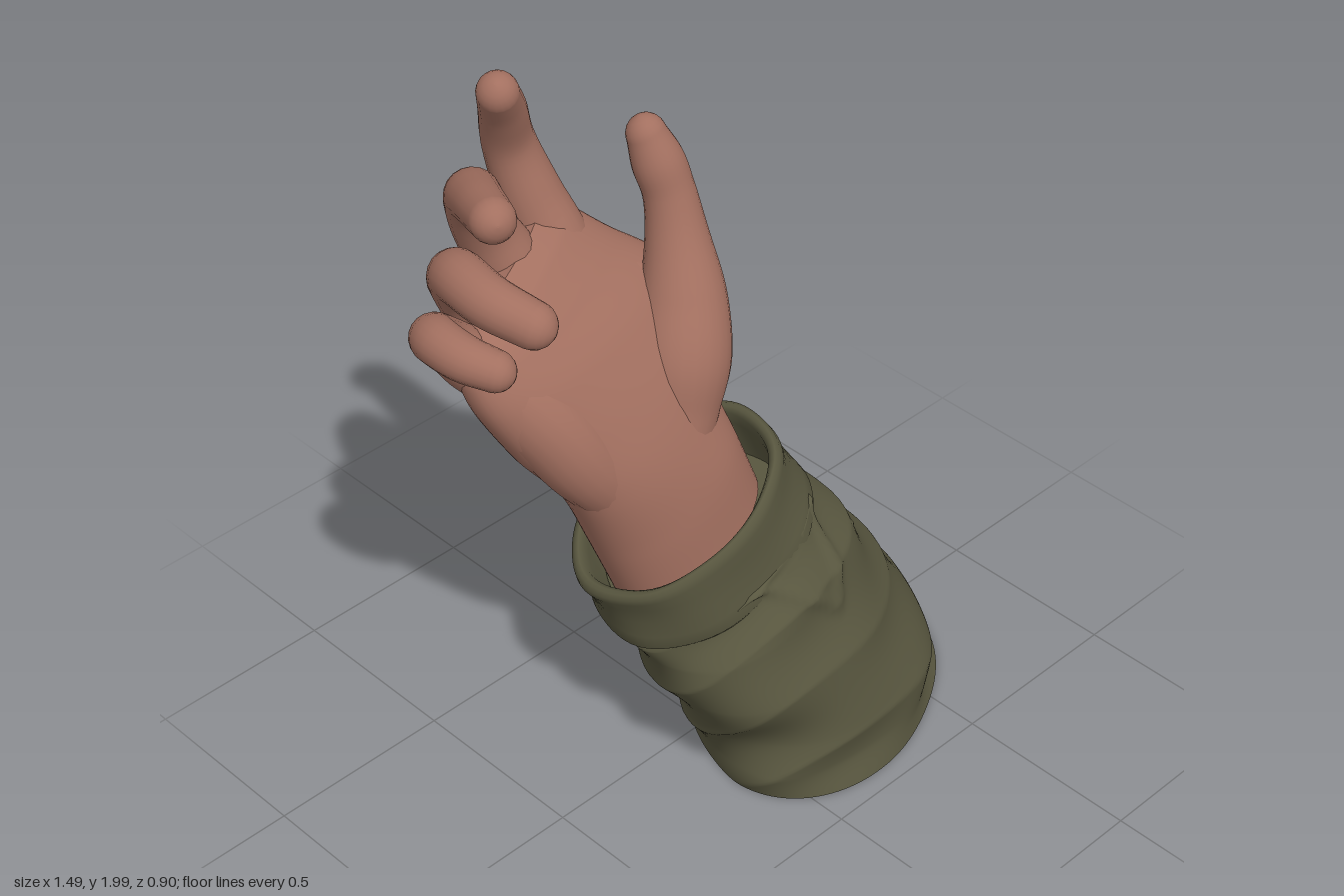
import * as THREE from 'three';

const V = (a) => new THREE.Vector3(...a);

// Skin a stack of rings (each an array of Vector3) and close both ends
function skin(rings) {
  const n = rings[0].length, pos = [], idx = [];
  rings.forEach((r) => r.forEach((p) => pos.push(p.x, p.y, p.z)));
  for (let i = 0; i < rings.length - 1; i++) {
    for (let j = 0; j < n; j++) {
      const a = i * n + j, b = i * n + ((j + 1) % n);
      idx.push(a, a + n, b, b, a + n, b + n);
    }
  }
  [rings[0], rings[rings.length - 1]].forEach((ring, end) => {
    const start = pos.length / 3, c = new THREE.Vector3();
    ring.forEach((p) => { c.addScaledVector(p, 1 / n); pos.push(p.x, p.y, p.z); });
    pos.push(c.x, c.y, c.z);
    for (let j = 0; j < n; j++) {
      const a = start + j, b = start + ((j + 1) % n);
      if (end) idx.push(a, start + n, b); else idx.push(a, b, start + n);
    }
  });
  const g = new THREE.BufferGeometry();
  g.setAttribute('position', new THREE.Float32BufferAttribute(pos, 3));
  g.setIndex(idx);
  g.computeVertexNormals();
  return g;
}

// Ring around centre c with half-axes u (sideways) and w (front to back)
function ring(c, u, w, n, shape = 1, swell = () => 1) {
  const f = (v) => Math.sign(v) * Math.pow(Math.abs(v), shape);
  return Array.from({ length: n }, (_, j) => {
    const a = (j / n) * Math.PI * 2, s = swell(a);
    return c.clone().addScaledVector(u, f(Math.cos(a)) * s).addScaledVector(w, f(Math.sin(a)) * s);
  });
}

// Smooth loft through sections [centre, sideways half-axis, depth half-axis]
function loft(sections, rows, n, shape, swell = () => 1) {
  const [c, u, w] = [0, 1, 2].map((k) => new THREE.CatmullRomCurve3(sections.map((s) => V(s[k]))));
  return skin(Array.from({ length: rows + 1 }, (_, i) => {
    const t = i / rows;
    return ring(c.getPoint(t), u.getPoint(t), w.getPoint(t), n, shape, (a) => swell(a, t));
  }));
}

// Round-ended tube whose radius follows the listed values: [x, y, z, radius]
function digit(points, n = 20, rows = 36) {
  const curve = new THREE.CatmullRomCurve3(points.map((p) => V(p.slice(0, 3))));
  const radii = new THREE.CatmullRomCurve3(points.map((p, i) => V([p[3], i, 0])));
  const frames = curve.computeFrenetFrames(rows);
  const rings = [];
  const add = (i, lift, scale) => {
    const r = radii.getPoint(curve.getUtoTmapping(i / rows)).x;
    const c = curve.getPointAt(i / rows).addScaledVector(frames.tangents[i], r * lift);
    rings.push(ring(c, frames.normals[i].clone().multiplyScalar(r * scale),
      frames.binormals[i].clone().multiplyScalar(-r * scale), n));
  };
  const cap = [0.05, 0.3, 0.6, 0.9, 1.2, 1.45];
  for (const a of cap) add(0, -Math.cos(a), Math.sin(a));
  for (let i = 0; i <= rows; i++) add(i, 0, 1);
  for (const a of cap.slice().reverse()) add(rows, Math.cos(a), Math.sin(a));
  return skin(rings);
}

export function createModel() {
  const model = new THREE.Group();
  const skinTone = new THREE.MeshStandardMaterial({ color: 0xa37060 });
  skinTone.name = 'skin';
  const cloth = new THREE.MeshStandardMaterial({ color: 0x58563f });
  cloth.name = 'olive cloth';
  const add = (name, geometry, material, parent = model) => {
    const m = new THREE.Mesh(geometry, material);
    m.name = name;
    parent.add(m);
    return m;
  };

  // Sleeve with diagonal folds, a V-shaped vent fold in front and a loose hem at the lower corner
  const folds = (a, t) => {
    const fade = Math.min(1, t * 8 + 0.35) * Math.min(1, (1 - t) * 6 + 0.25);
    const ridge = 1 - Math.abs(Math.sin(13 * t + a + 0.9 * Math.sin(a * 2 + 1)));
    const cross = Math.sin(3 * a - 11 * t) + 0.6 * Math.sin(5 * a + 17 * t + 1.3);
    const arm = (Math.abs(a - 1.2) - (t - 0.53) * 1.5) / 0.07;
    const vent = t > 0.5 ? Math.exp(-arm * arm) * Math.min(1, (t - 0.5) * 20) : 0;
    const hem = Math.max(0, 1 - t / 0.05) * Math.max(0, Math.cos(a)) ** 4;
    return 0.985 + fade * (0.058 * (ridge - 0.35) + 0.02 * cross + 0.04 * vent) + 0.2 * hem;
  };
  const sleeve = loft([
    [[0.285, 0, 0.10], [0.365, 0, 0], [-0.1, 0, 0.355]],
    [[0.265, 0.18, 0.10], [0.385, 0.02, 0], [-0.09, 0.01, 0.325]],
    [[0.13, 0.37, 0.09], [0.368, 0.04, 0], [-0.07, 0.01, 0.305]],
    [[0.05, 0.54, 0.065], [0.322, 0.08, 0], [-0.05, 0.01, 0.285]],
    [[-0.01, 0.65, 0.035], [0.27, 0.11, 0], [-0.02, 0.01, 0.25]],
    [[-0.04, 0.70, 0.03], [0.25, 0.11, 0], [0, 0.01, 0.22]],
  ], 120, 128, 0.95, folds);
  const sp = sleeve.attributes.position;
  for (let i = 0; i < sp.count; i++) sp.setY(i, Math.max(0, sp.getY(i)));
  sleeve.computeVertexNormals();
  add('sleeve', sleeve, cloth);

  // Turned cuff: [height, scale] profile up the outside and down the inside
  const low = [[-0.03, 0.64, 0.025], [0.28, 0.12, 0], [0, 0.01, 0.25]].map(V);
  const high = [[-0.115, 0.83, 0.015], [0.265, 0.14, 0], [0, 0.02, 0.232]].map(V);
  const profile = [[0.06, 0.84], [-0.05, 0.93], [-0.06, 0.99], [0.02, 1.03], [0.2, 1.01], [0.45, 0.99], [0.7, 0.99],
    [0.88, 1.01], [0.97, 1], [1.02, 0.965], [1.02, 0.93], [0.97, 0.89], [0.8, 0.87], [0.5, 0.85], [0.1, 0.82]];
  add('cuff', skin(profile.map(([t, s]) => {
    const [c, u, w] = [0, 1, 2].map((k) => low[k].clone().lerp(high[k], t));
    return ring(c, u.multiplyScalar(s), w.multiplyScalar(s), 72, 0.95,
      (a) => 1 + 0.012 * Math.sin(3 * a + 4 * t) + 0.008 * Math.sin(7 * a - 3 * t));
  })), cloth);

  // Cuff button
  const button = add('button', new THREE.SphereGeometry(0.02, 12, 8), cloth);
  button.position.set(0.31, 0.61, 0.2);

  // Wrist and palm
  const hand = new THREE.Group();
  hand.name = 'hand';
  model.add(hand);
  add('palm', loft([
    [[-0.07, 0.70, 0.005], [0.2, 0.1, 0], [0, 0.02, 0.145]],
    [[-0.13, 0.87, -0.015], [0.205, 0.09, 0], [0, 0.02, 0.15]],
    [[-0.18, 1.02, -0.045], [0.23, 0.06, -0.02], [0, 0.03, 0.145]],
    [[-0.22, 1.16, -0.1], [0.295, 0.05, -0.03], [0, 0.04, 0.14]],
    [[-0.26, 1.3, -0.17], [0.33, 0.05, -0.06], [0, 0.04, 0.132]],
    [[-0.33, 1.4, -0.225], [0.285, 0.055, -0.08], [0, 0.035, 0.112]],
    [[-0.365, 1.48, -0.26], [0.225, 0.065, -0.085], [0, 0.02, 0.085]],
    [[-0.375, 1.52, -0.275], [0.145, 0.045, -0.055], [0, 0.01, 0.038]],
  ], 56, 56, 0.88), skinTone, hand);
  add('heelOfPalm', digit([[-0.27, 0.92, 0.0, 0.08], [-0.37, 1.07, -0.03, 0.1], [-0.43, 1.18, -0.07, 0.105],
    [-0.49, 1.28, -0.13, 0.1], [-0.54, 1.36, -0.18, 0.075]]), skinTone, hand);

  // Thumb with its fleshy base
  add('thumb', digit([[-0.12, 0.94, 0.005, 0.09], [-0.075, 1.08, -0.015, 0.105], [-0.04, 1.2, -0.035, 0.122],
    [0.005, 1.33, -0.075, 0.107], [0.03, 1.47, -0.12, 0.078], [0.034, 1.58, -0.15, 0.064],
    [0.022, 1.66, -0.175, 0.064], [0.008, 1.73, -0.198, 0.049]], 24, 48), skinTone, hand);
  add('thumbWeb', digit([[-0.01, 1.26, -0.12, 0.09], [-0.06, 1.33, -0.185, 0.085],
    [-0.17, 1.42, -0.28, 0.075]]), skinTone, hand);

  // Fingers, each running from the back of the hand over its knuckle to the tip
  const fingers = {
    indexFinger: [[-0.16, 1.16, -0.145, 0.06], [-0.185, 1.45, -0.3, 0.084], [-0.215, 1.59, -0.36, 0.078],
      [-0.25, 1.74, -0.388, 0.064], [-0.295, 1.86, -0.35, 0.057], [-0.345, 1.945, -0.305, 0.05]],
    middleFinger: [[-0.23, 1.16, -0.15, 0.06], [-0.33, 1.46, -0.3, 0.084], [-0.39, 1.6, -0.325, 0.074],
      [-0.45, 1.725, -0.285, 0.067], [-0.51, 1.78, -0.19, 0.06], [-0.57, 1.818, -0.075, 0.054]],
    ringFinger: [[-0.3, 1.14, -0.135, 0.055], [-0.45, 1.41, -0.25, 0.081], [-0.53, 1.54, -0.25, 0.069],
      [-0.59, 1.625, -0.18, 0.065], [-0.61, 1.632, -0.05, 0.062], [-0.58, 1.61, 0.058, 0.056]],
    littleFinger: [[-0.36, 1.11, -0.105, 0.05], [-0.55, 1.36, -0.19, 0.072], [-0.63, 1.46, -0.2, 0.06],
      [-0.69, 1.52, -0.15, 0.058], [-0.695, 1.523, -0.05, 0.055], [-0.665, 1.51, 0.022, 0.049]],
  };
  for (const [name, points] of Object.entries(fingers)) add(name, digit(points), skinTone, hand);

  return model;
}
